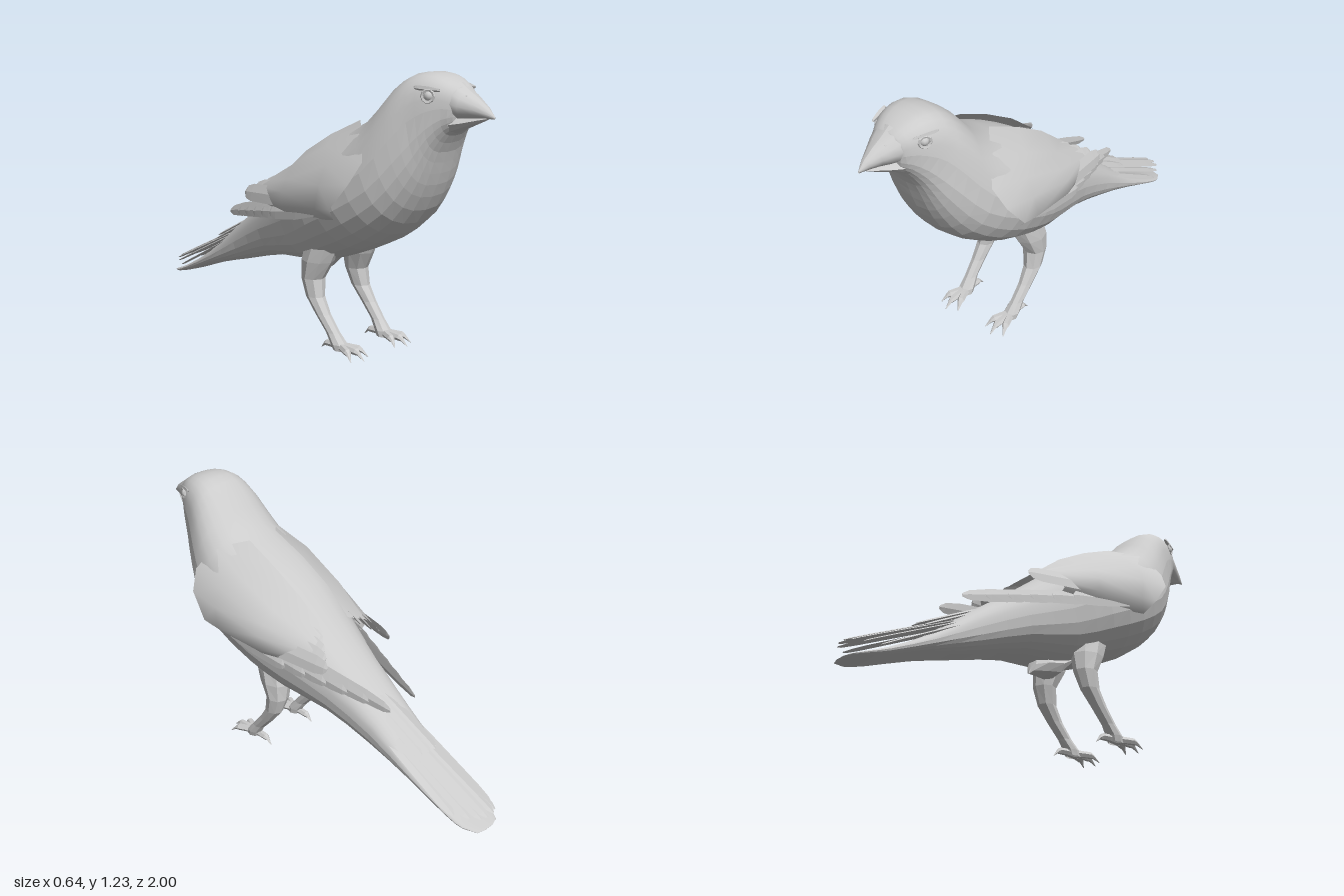
import * as THREE from 'three';

const flat = new THREE.MeshStandardMaterial({ color: 0xcccccc, flatShading: true, side: THREE.DoubleSide });
const smooth = new THREE.MeshStandardMaterial({ color: 0xcccccc, side: THREE.DoubleSide });
const V = (p) => new THREE.Vector3(...p);

// Skin a list of equally long rows of points
function skin(rows) {
  const n = rows[0].length, pos = [], index = [];
  rows.forEach((row) => row.forEach((p) => pos.push(p.x, p.y, p.z)));
  for (let i = 0; i < rows.length - 1; i++) {
    for (let j = 0; j < n - 1; j++) {
      const a = i * n + j, b = a + n;
      index.push(a, a + 1, b, a + 1, b + 1, b);
    }
  }
  const g = new THREE.BufferGeometry();
  g.setAttribute('position', new THREE.Float32BufferAttribute(pos, 3));
  g.setIndex(index);
  g.computeVertexNormals();
  return g;
}

function add(parent, name, geometry, material = flat) {
  const mesh = new THREE.Mesh(geometry, material);
  mesh.name = name;
  parent.add(mesh);
  return mesh;
}

// Insert a smoothly interpolated section between each inner pair
function refine(list) {
  return list.flatMap((s, i) => {
    if (i < 1 || i > list.length - 4) return [s];
    const [a, c, d] = [list[i - 1], list[i + 1], list[i + 2]];
    return [s, s.map((v, k) => (9 * (v + c[k]) - a[k] - d[k]) / 16)];
  });
}

// Tilted oval sections: [top z, top y, bottom z, bottom y, half width, corner power]
function hull(sections, from, to, segments) {
  return skin(sections.map(([tz, ty, bz, by, w, power]) => {
    const bend = (v) => Math.sign(v) * Math.abs(v) ** power;
    const row = [];
    for (let j = 0; j <= segments; j++) {
      const a = from + (to - from) * j / segments;
      const c = bend(Math.cos(a)) / 2, s = bend(Math.sin(a));
      row.push(new THREE.Vector3(w * s, (ty + by) / 2 + (ty - by) * c, (tz + bz) / 2 + (tz - bz) * c));
    }
    return row;
  }));
}

// Upright limb: [x, y, z, half width, half depth]
function limb(stations, sides) {
  return skin(stations.map(([x, y, z, rx, rz]) => Array.from({ length: sides + 1 }, (_, j) => {
    const a = j / sides * Math.PI * 2;
    return new THREE.Vector3(x + rx * Math.cos(a), y, z + rz * Math.sin(a));
  })));
}

// Thin blade from base to tip, spread along the across direction
function feather(base, tip, across, width, thick = 0.006) {
  const b = V(base), t = V(tip), w = V(across).normalize();
  const n = new THREE.Vector3().subVectors(t, b).cross(w).normalize();
  return skin([[0, 0.55], [0.4, 1], [0.85, 0.95], [0.96, 0.7], [1, 0.25]].map(([f, k]) =>
    [[1, 0], [0, 1], [-1, 0], [0, -1], [1, 0]].map(([u, v]) => b.clone().lerp(t, f)
      .addScaledVector(w, u * k * width / 2).addScaledVector(n, v * thick * (k + 0.2)))));
}

const BODY = refine([
  [0.86, 1.1, 0.86, 1.08, 0.01, 0.8],
  [0.865, 1.165, 0.84, 1.02, 0.07, 0.8],
  [0.825, 1.2, 0.81, 0.99, 0.104, 0.74],
  [0.755, 1.23, 0.77, 0.92, 0.138, 0.7],
  [0.66, 1.23, 0.74, 0.83, 0.168, 0.72],
  [0.57, 1.175, 0.7, 0.73, 0.205, 0.8],
  [0.44, 1.04, 0.62, 0.61, 0.25, 0.88],
  [0.25, 0.95, 0.48, 0.505, 0.277, 0.88],
  [0.08, 0.85, 0.29, 0.42, 0.262, 0.88],
  [-0.07, 0.735, 0.1, 0.36, 0.215, 0.88],
  [-0.25, 0.595, -0.15, 0.34, 0.165, 0.85],
  [-0.45, 0.45, -0.4, 0.275, 0.128, 0.8],
  [-0.65, 0.29, -0.64, 0.21, 0.115, 0.8],
  [-0.84, 0.18, -0.84, 0.14, 0.108, 0.8],
  [-0.93, 0.14, -0.93, 0.115, 0.098, 0.8],
  [-0.985, 0.12, -0.985, 0.108, 0.066, 0.8],
  [-0.997, 0.114, -0.997, 0.112, 0.03, 0.8],
]);

function buildWing() {
  const wing = new THREE.Group();
  // Shoulder shell: lines from the back edge round to the underside
  const lines = [
    [[0.08, 1.02, 0.37], [0.085, 0.945, 0.2], [0.085, 0.855, 0.04], [0.075, 0.745, -0.1]],
    [[0.19, 0.985, 0.485], [0.215, 0.915, 0.3], [0.205, 0.81, 0.08], [0.155, 0.715, -0.13]],
    [[0.255, 0.88, 0.55], [0.275, 0.85, 0.36], [0.255, 0.755, 0.1], [0.195, 0.685, -0.14]],
    [[0.305, 0.79, 0.52], [0.312, 0.77, 0.36], [0.282, 0.705, 0.1], [0.225, 0.66, -0.08]],
    [[0.32, 0.68, 0.43], [0.318, 0.67, 0.34], [0.285, 0.64, 0.1], [0.23, 0.625, -0.06]],
    [[0.265, 0.625, 0.4], [0.262, 0.615, 0.32], [0.25, 0.6, 0.1], [0.19, 0.595, -0.06]],
  ];
  add(wing, 'wingShoulder', skin(lines[0].map((_, i) => lines.map((l) => V(l[i])))), smooth);

  // Short feathers covering the rear of the shoulder
  for (let i = 0; i < 4; i++) {
    add(wing, 'wingCovert', feather([0.265 - i * 0.03, 0.68 + i * 0.04, 0.16],
      [0.2 - i * 0.025, 0.65 + i * 0.018, -0.24 + i * 0.035], [0.35 + i * 0.2, -1, 0], 0.085));
  }
  // Long flight feathers, fanned along the flank
  for (let i = 0; i < 6; i++) {
    add(wing, 'flightFeather', feather([0.275 - i * 0.01, 0.645 + i * 0.008, 0.3],
      [0.245 - i * 0.033, 0.595 - i * 0.018, -0.02 - i * 0.096], [0.15, -1, -0.1], 0.07));
  }
  return wing;
}

function buildLeg() {
  const leg = new THREE.Group();
  add(leg, 'shank', limb([
    [0.12, 0.47, 0.19, 0.065, 0.09], [0.128, 0.39, 0.165, 0.066, 0.08], [0.137, 0.31, 0.145, 0.053, 0.054],
    [0.143, 0.23, 0.165, 0.04, 0.045], [0.145, 0.16, 0.215, 0.031, 0.038],
    [0.143, 0.09, 0.275, 0.028, 0.034], [0.14, 0.045, 0.31, 0.036, 0.038], [0.138, 0.018, 0.32, 0.032, 0.036],
  ], 8));
  // Three toes forward, one back, each ending in a claw
  for (const [angle, length] of [[-0.42, 0.13], [0, 0.145], [0.42, 0.13], [Math.PI, 0.115]]) {
    const toe = new THREE.Group();
    toe.name = 'toe';
    const steps = [[0, 0.033, 0.022], [0.35, 0.034, 0.018], [0.68, 0.032, 0.017], [0.78, 0.027, 0.011], [1, 0.002, 0.002]];
    add(toe, 'toeAndClaw', skin(steps.map(([f, y, r]) => Array.from({ length: 7 }, (_, j) => {
      const a = -j / 6 * Math.PI * 2;
      return new THREE.Vector3(r * Math.cos(a), y + r * 0.9 * Math.sin(a), f * length);
    }))));
    toe.position.set(0.138, 0, 0.315);
    toe.rotation.y = angle;
    leg.add(toe);
  }
  return leg;
}

function buildFace() {
  const face = new THREE.Group();
  const eye = add(face, 'eye', new THREE.SphereGeometry(0.02, 10, 8), smooth);
  eye.position.set(0.118, 1.148, 0.768);
  const rim = add(face, 'eyeRim', new THREE.TorusGeometry(0.024, 0.006, 5, 10));
  rim.position.set(0.127, 1.148, 0.772);
  rim.rotation.y = 1.12;
  // Low brow ridge over the eye
  add(face, 'brow', feather([0.108, 1.172, 0.815], [0.144, 1.18, 0.715], [0.4, 1, 0.1], 0.022));
  const nostril = add(face, 'nostril', new THREE.SphereGeometry(0.007, 6, 4));
  nostril.position.set(0.034, 1.148, 0.885);
  return face;
}

export function createModel() {
  const bird = new THREE.Group();
  bird.name = 'bird';

  // Smooth crown and back, faceted breast and belly
  const split = 1.55;
  add(bird, 'headAndBack', hull(BODY, -split, split, 14), smooth);
  add(bird, 'breastAndBelly', hull(BODY, split, Math.PI * 2 - split, 12));

  // Beak halves meeting along the mouth line
  add(bird, 'upperBeak', hull([
    [0.83, 1.2, 0.82, 1.05, 0.092, 0.9], [0.875, 1.168, 0.865, 1.055, 0.074, 0.95],
    [0.92, 1.142, 0.91, 1.062, 0.047, 1], [0.965, 1.11, 0.955, 1.066, 0.023, 1],
    [0.997, 1.076, 0.997, 1.068, 0.002, 1],
  ], 0, Math.PI * 2, 12), smooth);
  add(bird, 'lowerBeak', hull([
    [0.83, 1.075, 0.82, 0.998, 0.078, 1], [0.88, 1.07, 0.87, 1.022, 0.056, 1],
    [0.94, 1.072, 0.935, 1.05, 0.026, 1], [0.975, 1.072, 0.975, 1.068, 0.002, 1],
  ], 0, Math.PI * 2, 8));

  // Ragged tuft under the belly
  add(bird, 'ventTuft', hull([
    [0.13, 0.4, 0.12, 0.36, 0.1, 0.9], [0.08, 0.4, 0.07, 0.3, 0.08, 0.9],
    [0, 0.39, 0.01, 0.295, 0.058, 0.9], [-0.04, 0.37, -0.06, 0.288, 0.03, 0.9], [-0.06, 0.31, -0.065, 0.288, 0.004, 0.9],
  ], 0, Math.PI * 2, 8));

  // Paired parts are built on the left and mirrored
  for (const side of [1, -1]) {
    const label = side > 0 ? 'left' : 'right';
    for (const [name, build] of [['Wing', buildWing], ['Leg', buildLeg], ['FaceSide', buildFace]]) {
      const part = build();
      part.name = label + name;
      part.scale.x = side;
      bird.add(part);
    }
    // Layered tail: long feathers below, short coverts on top
    for (let i = 0; i < 4; i++) {
      add(bird, label + 'TailFeather', feather([side * (0.012 + i * 0.022), 0.475 - i * 0.012, -0.36],
        [side * (0.02 + i * 0.026), 0.18 - i * 0.004, -0.998 + i * i * 0.013], [1, -side * 0.12, 0], 0.06, 0.005));
    }
    for (let i = 0; i < 3; i++) {
      add(bird, label + 'TailCovert', feather([side * (0.012 + i * 0.024), 0.545 - i * 0.015, -0.28],
        [side * (0.018 + i * 0.028), 0.345 - i * 0.01, -0.675 + i * i * 0.02], [1, -side * 0.2, 0], 0.055, 0.005));
    }
  }
  return bird;
}
